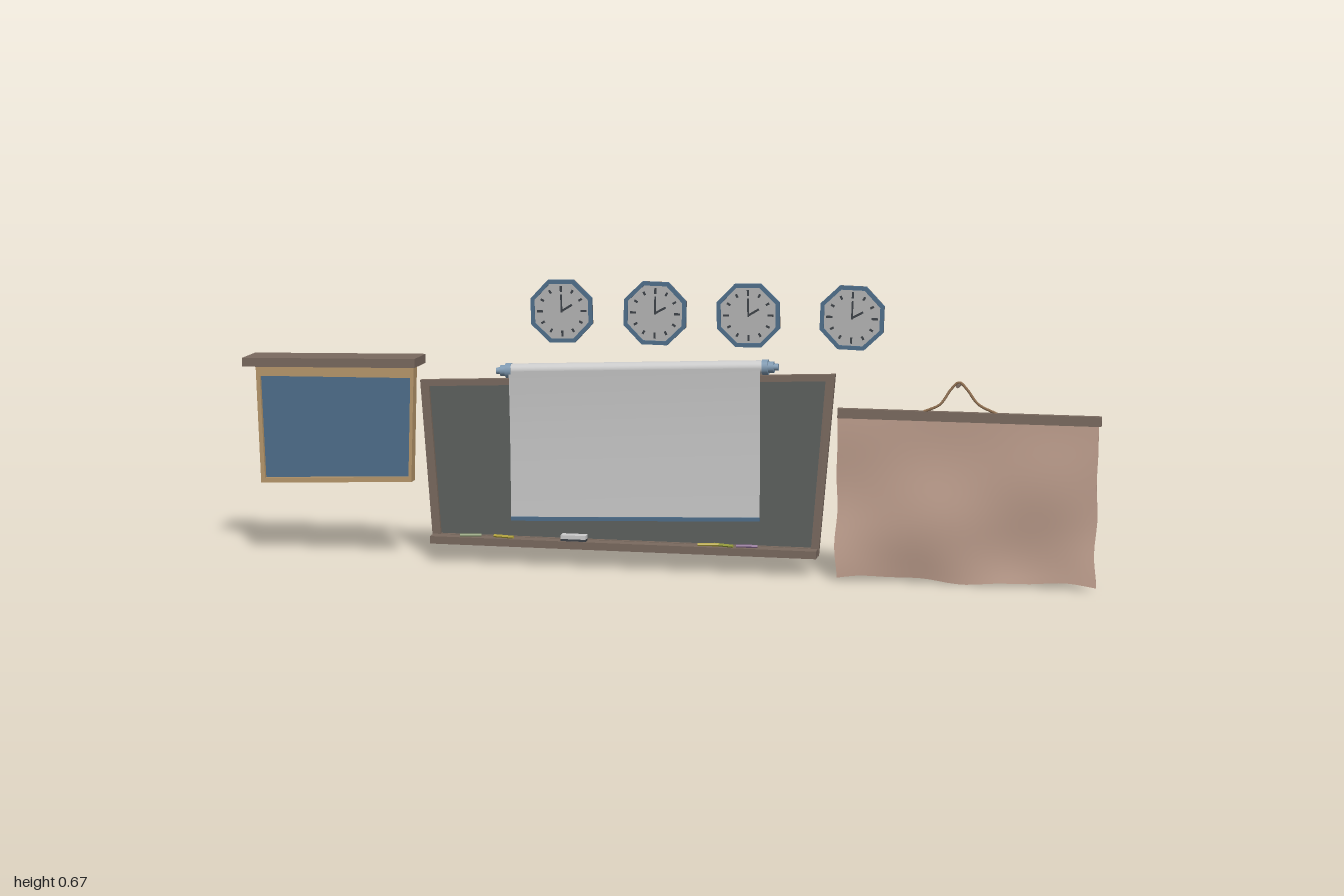
import * as THREE from 'three';

const WOOD = 0x7a6a5f, TAN = 0xb8986c, BLUE = 0x4f6f8c, SLATE = 0x5d615f, DARK = 0x3d4248;

function mat(color, flat = true) {
  return new THREE.MeshStandardMaterial({ color, flatShading: flat, side: THREE.DoubleSide });
}

function add(parent, name, geometry, color, flat = true) {
  const mesh = new THREE.Mesh(geometry, mat(color, flat));
  mesh.name = name;
  parent.add(mesh);
  return mesh;
}

function box(parent, name, size, pos, color, rotZ = 0) {
  const mesh = add(parent, name, new THREE.BoxGeometry(...size), color);
  mesh.position.set(...pos);
  mesh.rotation.z = rotZ;
  return mesh;
}

// Flat polygon plate between two depths, with an optional opening
function plate(parent, name, points, zBack, zFront, color, hole) {
  const shape = new THREE.Shape(points.map(p => new THREE.Vector2(...p)));
  if (hole) shape.holes.push(new THREE.Path(hole.map(p => new THREE.Vector2(...p))));
  const geo = new THREE.ExtrudeGeometry(shape, { depth: zFront - zBack, bevelEnabled: false });
  geo.translate(0, 0, zBack);
  return add(parent, name, geo, color);
}

function octagon(r) {
  return Array.from({ length: 8 }, (_, i) => {
    const a = (i + 0.5) * Math.PI / 4;
    return [r * Math.cos(a), r * Math.sin(a)];
  });
}

// Octagonal wall clock with hour marks and two hands
function makeClock(x, tilt) {
  const g = new THREE.Group();
  g.name = 'wallClock';
  plate(g, 'clockBack', octagon(0.079), -0.045, -0.043, WOOD);
  plate(g, 'clockRim', octagon(0.079), -0.043, -0.035, BLUE, octagon(0.069));
  plate(g, 'clockFace', octagon(0.07), -0.043, -0.038, 0xb4b4b4);
  for (let i = 0; i < 12; i++) {
    const a = i * Math.PI / 6;
    box(g, 'hourMark', [i % 3 ? 0.009 : 0.014, 0.005, 0.001],
      [0.052 * Math.cos(a), 0.052 * Math.sin(a), -0.0375], DARK, a);
  }
  box(g, 'minuteHand', [0.004, 0.042, 0.001], [0, 0.018, -0.0372], DARK);
  box(g, 'hourHand', [0.03, 0.005, 0.001], [0.012, 0.007, -0.0372], DARK, Math.PI / 6);
  g.position.set(x, 0.603, 0);
  g.rotation.z = tilt;
  return g;
}

// Tapered chalkboard with a tray
function makeChalkboard() {
  const g = new THREE.Group();
  g.name = 'chalkboard';
  const outer = [[-0.567, 0.047], [0.355, 0.047], [0.39, 0.473], [-0.593, 0.433]];
  const inner = [[-0.548, 0.066], [0.338, 0.066], [0.368, 0.457], [-0.572, 0.419]];
  plate(g, 'boardBack', outer, -0.045, -0.042, WOOD);
  plate(g, 'boardFrame', outer, -0.042, -0.029, WOOD, inner);
  plate(g, 'writingSurface', inner, -0.042, -0.038, SLATE);
  box(g, 'chalkTray', [0.92, 0.018, 0.03], [-0.106, 0.056, -0.0145], WOOD);
  box(g, 'eraserPad', [0.06, 0.005, 0.024], [-0.22, 0.0675, -0.015], DARK);
  box(g, 'eraserTop', [0.06, 0.009, 0.024], [-0.22, 0.0745, -0.015], 0xcccccc);
  const chalks = [[-0.47, 0x8a9a70, 0.2], [-0.39, 0xb5a53c, -0.2], [0.1, 0xb5a53c, 0.15],
    [0.135, 0x9aa03c, -0.3], [0.19, 0x8a6a90, 0.1]];
  for (const [x, color, turn] of chalks) {
    const geo = new THREE.CylinderGeometry(0.004, 0.004, 0.05, 6).rotateZ(Math.PI / 2);
    const c = add(g, 'chalk', geo, color);
    c.position.set(x, 0.068, -0.014);
    c.rotation.y = turn;
  }
  return g;
}

// Pull-down screen hanging from a slightly tilted roller
function makeScreen() {
  const g = new THREE.Group();
  g.name = 'projectionScreen';
  const roller = new THREE.Group();
  roller.name = 'roller';
  roller.position.set(-0.073, 0.474, -0.026);
  roller.rotation.z = 0.04;
  const tube = (name, r, len, x, color) => {
    const geo = new THREE.CylinderGeometry(r, r, len, 20).rotateZ(Math.PI / 2);
    const m = add(roller, name, geo, color, false);
    m.position.x = x;
  };
  tube('rollerTube', 0.0165, 0.6, 0, 0xcccccc);
  for (const s of [-1, 1]) {
    tube('rollerCap', 0.018, 0.014, s * 0.303, 0x7f9ab2);
    tube('rollerPlug', 0.013, 0.014, s * 0.316, 0x7f9ab2);
    tube('rollerPin', 0.008, 0.012, s * 0.327, 0x7f9ab2);
  }
  g.add(roller);

  // Sheet bends gently back from the roller
  const sheet = new THREE.PlaneGeometry(0.592, 1, 1, 10);
  const p = sheet.attributes.position;
  for (let i = 0; i < p.count; i++) {
    const x = p.getX(i) - 0.077, t = 0.5 - p.getY(i);
    const top = 0.474 + (x + 0.077) * 0.04;
    const bottom = 0.12 + (x + 0.077) * 0.035;
    p.setXYZ(i, x, top + (bottom - top) * t, -0.02 + 0.011 * (1 - t) ** 3);
  }
  sheet.computeVertexNormals();
  add(g, 'screenSheet', sheet, 0xcccccc, false);
  box(g, 'screenBottomBar', [0.592, 0.009, 0.007], [-0.077, 0.121, -0.02], BLUE, 0.035);
  return g;
}

// Pin board with a deep hood
function makeNoticeBoard() {
  const g = new THREE.Group();
  g.name = 'noticeBoard';
  const outer = [[-0.98, 0.18], [-0.608, 0.194], [-0.598, 0.475], [-0.987, 0.472]];
  const inner = [[-0.97, 0.192], [-0.615, 0.206], [-0.607, 0.442], [-0.977, 0.437]];
  plate(g, 'noticeBacking', outer, -0.023, -0.015, TAN);
  plate(g, 'noticeFrame', outer, -0.015, 0.005, TAN, inner);
  plate(g, 'noticePanel', inner, -0.015, -0.004, BLUE);
  plate(g, 'hood', [[-1, 0.466], [-0.58, 0.474], [-0.58, 0.495], [-1, 0.487]], -0.033, 0.06, WOOD);
  return g;
}

// Wavy cloth on a bar, hung by a cord over a peg
function makeHanging() {
  const g = new THREE.Group();
  g.name = 'wallHanging';
  const cloth = new THREE.BoxGeometry(0.588, 0.37, 0.005, 28, 20, 1);
  const p = cloth.attributes.position;
  for (let i = 0; i < p.count; i++) {
    const x = p.getX(i), y = p.getY(i), z = p.getZ(i);
    const t = 0.5 - y / 0.37, u = x / 0.588 + 0.5;
    const wave = t * (0.009 * Math.sin(t * 6.3 + u * 4.5 + 2.6) + 0.005 * Math.sin(u * 11 - t * 4));
    const edgeX = 0.004 * t * Math.sin(t * 14);
    const hem = t * t * (0.005 * Math.sin(u * 9) + 0.002 * Math.sin(u * 23));
    p.setXYZ(i, 0.694 + x + edgeX, 0.194 + y + hem, z - 0.003 + wave + 0.006 * t * t);
  }
  cloth.computeVertexNormals();
  add(g, 'cloth', cloth, 0xbf9f8e, false);
  box(g, 'hangingBar', [0.594, 0.022, 0.016], [0.697, 0.388, -0.004], WOOD, -0.003);

  const cord = new THREE.CatmullRomCurve3([
    [0.595, 0.398, -0.003], [0.632, 0.415, -0.007], [0.655, 0.448, -0.016], [0.673, 0.465, -0.02],
    [0.692, 0.449, -0.016], [0.718, 0.418, -0.007], [0.76, 0.398, -0.003],
  ].map(a => new THREE.Vector3(...a)));
  add(g, 'cord', new THREE.TubeGeometry(cord, 28, 0.0032, 6), 0x8f6f50, false);
  const peg = add(g, 'peg', new THREE.CylinderGeometry(0.004, 0.004, 0.075, 8).rotateX(Math.PI / 2), WOOD);
  peg.position.set(0.673, 0.458, -0.02);
  peg.rotation.x = -0.07;
  return g;
}

export function createModel() {
  const model = new THREE.Group();
  model.name = 'classroomWall';
  model.add(makeChalkboard(), makeScreen(), makeNoticeBoard(), makeHanging());
  [[-0.252, 0.03], [-0.031, -0.02], [0.187, 0.02], [0.426, -0.03]]
    .forEach(([x, tilt]) => model.add(makeClock(x, tilt)));
  return model;
}
